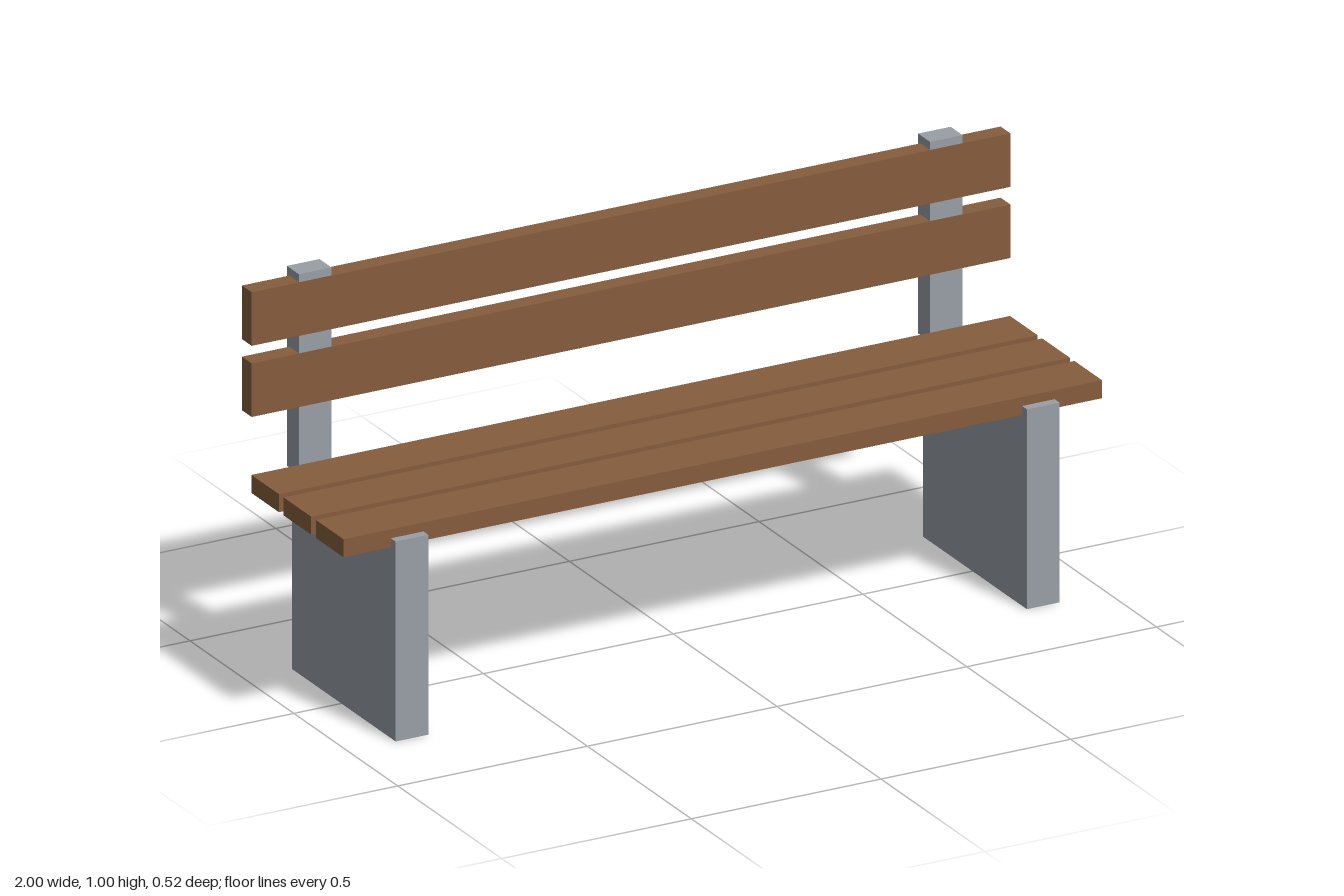
import * as THREE from 'three';

export function createModel() {
  const bench = new THREE.Group();
  bench.name = 'bench';

  const wood = new THREE.MeshStandardMaterial({ color: 0x865d3c });
  wood.name = 'brown wood';
  const concrete = new THREE.MeshStandardMaterial({ color: 0x989fa6 });
  concrete.name = 'grey concrete';

  // Box given by its size and centre
  const addBox = (name, material, size, centre) => {
    const mesh = new THREE.Mesh(new THREE.BoxGeometry(...size), material);
    mesh.name = name;
    mesh.position.set(...centre);
    bench.add(mesh);
  };

  // Slab leg and backrest post on each side
  for (const [side, sign] of [['left', 1], ['right', -1]]) {
    const x = sign * 0.832;
    addBox(`${side}Leg`, concrete, [0.086, 0.5, 0.5], [x, 0.25, 0.012]);
    addBox(`${side}Post`, concrete, [0.086, 0.5, 0.058], [x, 0.75, -0.233]);
  }

  // Three seat slats, let slightly into the legs
  for (let i = 0; i < 3; i++) {
    addBox(`seatSlat${i + 1}`, wood, [2, 0.045, 0.133], [0, 0.5, 0.172 - i * 0.155]);
  }

  // Two backrest slats, passing through the posts
  for (let i = 0; i < 2; i++) {
    addBox(`backSlat${i + 1}`, wood, [2, 0.134, 0.047], [0, 0.735 + i * 0.178, -0.2265]);
  }

  return bench;
}
